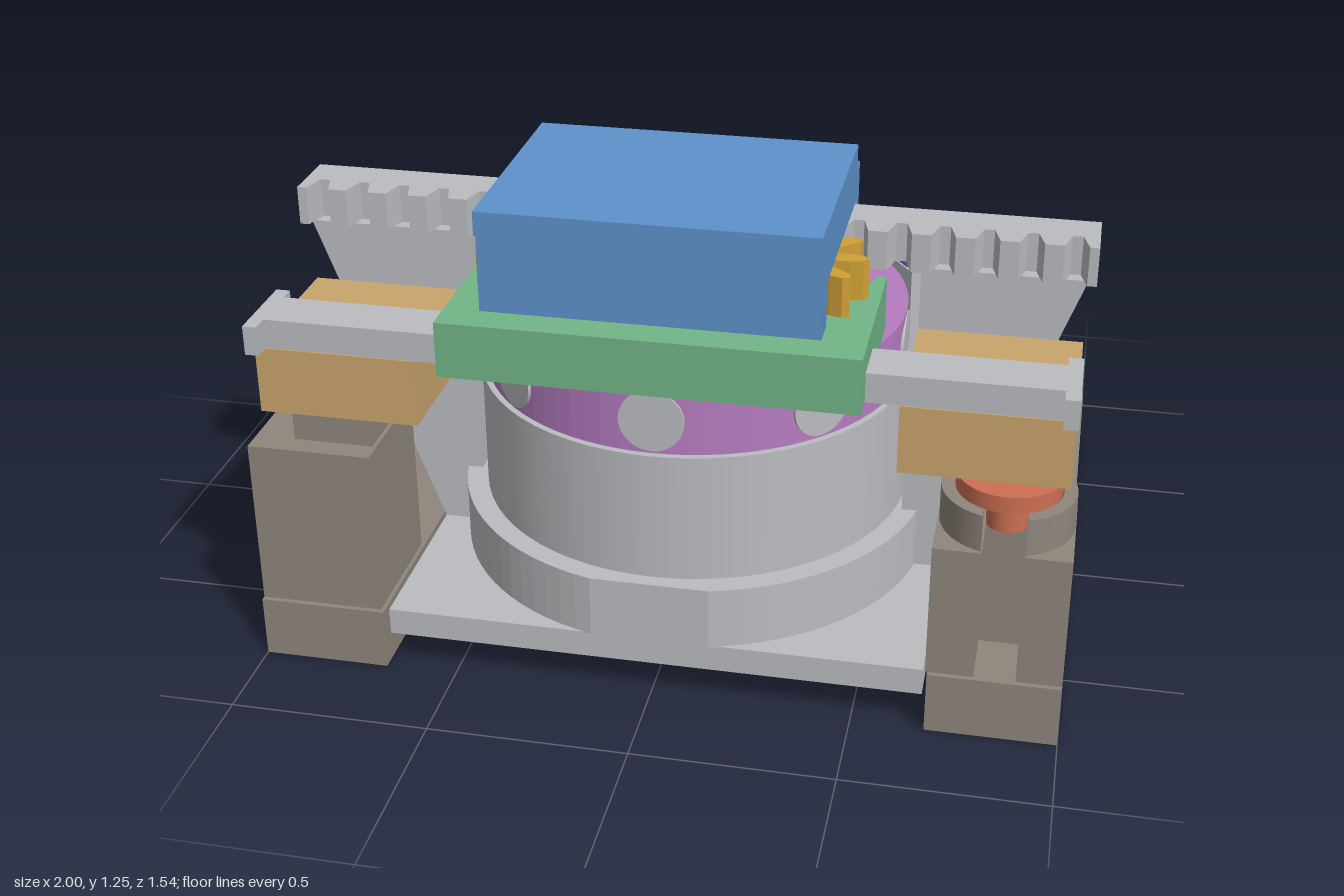
import * as THREE from 'three';

const mat = (name, color) => {
  const m = new THREE.MeshStandardMaterial({ color });
  m.name = name;
  return m;
};
const M = {
  brown: mat('brown', 0x8f867c), grey: mat('grey', 0xbbbcc0), purple: mat('purple', 0xb67cc1),
  green: mat('green', 0x72b587), blue: mat('blue', 0x5e92cb), tan: mat('tan', 0xc9a56d),
  gold: mat('gold', 0xd0a036), red: mat('red', 0xcc6f53), yellow: mat('yellow', 0xccc47f),
  navy: mat('navy', 0x403f8c),
};
const CZ = 0.165; // depth of the rotor axis

export function createModel() {
  const root = new THREE.Group();
  const add = (name, geo, m) => {
    const mesh = new THREE.Mesh(geo, m);
    mesh.name = name;
    root.add(mesh);
    return mesh;
  };
  // box from its limits
  const box = (name, m, x0, x1, y0, y1, z0, z1) => add(name,
    new THREE.BoxGeometry(Math.abs(x1 - x0), y1 - y0, z1 - z0)
      .translate((x0 + x1) / 2, (y0 + y1) / 2, (z0 + z1) / 2), m);
  const cyl = (name, m, r, y0, y1, x, z) => add(name,
    new THREE.CylinderGeometry(r, r, y1 - y0, 64).translate(x, (y0 + y1) / 2, z), m);
  const poly = (pts) => new THREE.Shape(pts.map(([x, y]) => new THREE.Vector2(x, y)));
  const circle = (x, y, r) => new THREE.Path().absarc(x, y, r, 0, Math.PI * 2, false);
  // plan shape (x, z) raised between two heights
  const slab = (shape, y0, y1) => new THREE.ExtrudeGeometry(shape,
    { depth: y1 - y0, bevelEnabled: false, curveSegments: 40 }).rotateX(Math.PI / 2).translate(0, y1, 0);
  // spur gear outline with rounded teeth
  const gearShape = (x, z, root_, tip, n, phase) => {
    const pts = [];
    const prof = [[-0.5, 0], [-0.3, 0], [-0.22, 0.45], [-0.13, 0.85], [0, 1], [0.13, 0.85], [0.22, 0.45], [0.3, 0]];
    for (let i = 0; i < n; i++) for (const [t, h] of prof) {
      const a = phase + (i + t) * Math.PI * 2 / n, r = root_ + (tip - root_) * h;
      pts.push([x + r * Math.cos(a), z + r * Math.sin(a)]);
    }
    return poly(pts);
  };
  // toothed edge running from -x to +x
  const teeth = (half, n, zRoot, zTip) => {
    const pts = [], p = 2 * half / n;
    for (let i = 0; i < n; i++) {
      const x = -half + i * p;
      pts.push([x, zTip], [x + 0.22 * p, zTip], [x + 0.38 * p, zRoot], [x + 0.62 * p, zRoot], [x + 0.78 * p, zTip]);
    }
    pts.push([half, zTip]);
    return pts;
  };

  // U-shaped base
  add('base', slab(poly([[-1, -0.775], [1, -0.775], [1, 0.77], [0.68, 0.77], [0.68, -0.45],
    [-0.68, -0.45], [-0.68, 0.77], [-1, 0.77]]), 0, 0.16), M.brown);

  // floor plate with bolt holes and a cable window
  const plate = poly([[-0.67, -0.445], [0.67, -0.445], [0.67, 0.752], [-0.67, 0.752]]);
  plate.holes.push(circle(0, 0.14, 0.055));
  for (const sx of [-1, 1]) for (const sz of [-1, 1]) plate.holes.push(circle(sx * 0.16, 0.14 + sz * 0.15, 0.05));
  plate.holes.push(new THREE.Path([[-0.19, -0.36], [0.19, -0.36], [0.19, -0.1], [-0.19, -0.1]]
    .map(([x, y]) => new THREE.Vector2(x, y))));
  add('floorPlate', slab(plate, 0.09, 0.16), M.grey);

  // stator with its flattened foot ring
  const foot = new THREE.Shape();
  foot.absarc(0, CZ, 0.61, Math.PI - 1.326, Math.PI * 2 + 1.326, false);
  add('statorFoot', slab(foot, 0.158, 0.32), M.grey);
  cyl('statorBody', M.grey, 0.555, 0.3, 0.655, 0, CZ);

  // rotor disc with counterbored holes on top and round ports on its side
  const discLayer = (name, r, y0, y1) => {
    const s = new THREE.Shape().absarc(0, CZ, 0.54, 0, Math.PI * 2, false);
    for (let i = 0; i < 4; i++) {
      const a = -1.94 + i * Math.PI / 2;
      s.holes.push(circle(0.245 * Math.cos(a), CZ + 0.245 * Math.sin(a), r));
    }
    add(name, slab(s, y0, y1), M.purple);
  };
  discLayer('rotorLower', 0.045, 0.656, 0.72);
  discLayer('rotorUpper', 0.08, 0.72, 0.832);
  for (let i = 0; i < 8; i++) {
    const port = new THREE.CylinderGeometry(0.08, 0.08, 0.009, 32).rotateX(Math.PI / 2).translate(0, 0.742, 0.538);
    add('sidePort', port.rotateY(i * Math.PI / 4).translate(0, 0, CZ), M.grey);
  }

  // drive pinion and its shaft
  const pinion = gearShape(0, CZ, 0.13, 0.21, 10, -Math.PI / 2);
  pinion.holes.push(circle(0, CZ, 0.075));
  add('drivePinion', slab(pinion, 0.833, 0.98), M.red);
  cyl('driveShaft', M.grey, 0.075, 0.832, 0.972, 0, CZ);

  // sliding block with a toothed back edge
  add('slidingBlock', slab(poly([...teeth(0.5, 9, 0.38, 0.305), [0.5, 0.767], [-0.5, 0.767]]), 0.84, 0.98), M.green);

  // fixed rack with an undercut back
  const rack = slab(poly([...teeth(1, 19, 0.25, 0.312).reverse(), [-1, 0.15], [1, 0.15]]), 1.0, 1.1);
  const rp = rack.attributes.position;
  for (let i = 0; i < rp.count; i++) if (rp.getZ(i) < 0.16 && rp.getY(i) < 1.05) rp.setZ(i, 0.185);
  rack.computeVertexNormals();
  add('fixedRack', rack, M.grey);

  // cover that hooks over the rack
  const cover = poly([[0.74, 1.255], [0.145, 1.255], [0.145, 1.195], [0.1, 1.195], [0.1, 1.1], [0.138, 1.0],
    [0.175, 1.0], [0.14, 1.11], [0.65, 1.11], [0.65, 1.0], [0.725, 1.0], [0.725, 1.195], [0.74, 1.195]]);
  add('cover', new THREE.ExtrudeGeometry(cover, { depth: 0.8, bevelEnabled: false })
    .rotateY(-Math.PI / 2).translate(0.4, 0, 0), M.blue);

  for (const s of [-1, 1]) {
    // transfer gear on its boss
    add('transferGear', slab(gearShape(s * 0.25, 0.48, 0.15, 0.225, 12, 0), 1.0, 1.1), M.gold);
    cyl('gearBoss', M.green, 0.08, 0.975, 1.0, s * 0.25, 0.48);

    // guide arm and slide bar with its end stop
    box('guideArm', M.tan, s * 0.58, s * 0.98, 0.665, 0.838, 0.283, 0.7);
    box('slideBar', M.grey, s * 0.49, s * 0.97, 0.84, 0.915, 0.57, 0.7);
    box('slideStop', M.grey, s * 0.95, s * 0.985, 0.84, 0.915, 0.53, 0.745);

    // tapered bracket carrying the rack
    const bracket = poly([[s * 0.98, 1.0], [s * 0.58, 1.0], [s * 0.58, 0.66], [s * 0.56, 0.64],
      [s * 0.56, 0.16], [s * 0.67, 0.16]]);
    add('rackBracket', new THREE.ExtrudeGeometry(bracket, { depth: 0.12, bevelEnabled: false })
      .translate(0, 0, 0.163), M.grey);

    // grooved sensor pillar, its outer face along +z before turning
    const pts = [[-0.115, -0.065], [0.115, -0.065], [0.115, 0.065]];
    for (const c of [0.06, 0, -0.06]) {
      pts.push([c + 0.015, 0.065], [c + 0.015, 0.02], [c - 0.015, 0.02], [c - 0.015, 0.065]);
    }
    pts.push([-0.115, 0.065]);
    const turn = Math.PI - s * 0.95;
    const place = (g) => g.translate(0, 0, 0.63).rotateY(turn).translate(0, 0, CZ);
    add('sensorPillar', place(slab(poly(pts), 0.158, 0.8)), M.grey);
    const rim = poly([[-0.115, -0.065], [0.115, -0.065], [0.115, 0.065], [-0.115, 0.065]]);
    rim.holes.push(new THREE.Path([[-0.08, -0.06], [0.08, -0.06], [0.08, 0.02], [-0.08, 0.02]]
      .map(([x, y]) => new THREE.Vector2(x, y))));
    add('sensorRim', place(slab(rim, 0.8, 0.828)), M.grey);
    add('sensor', place(new THREE.BoxGeometry(0.16, 0.016, 0.08).translate(0, 0.808, -0.02)), M.navy);

    // corner pad
    box('cornerPad', M.yellow, s * 0.68, s * 0.8, 0.16, 0.197, -0.443, -0.283);
  }

  // plain post with its packing block
  box('plainPost', M.brown, -1, -0.69, 0.16, 0.595, 0.437, 0.757);
  box('packingBlock', M.brown, -0.9, -0.7, 0.59, 0.665, 0.47, 0.7);

  // slotted post with a split cup and a plunger
  add('slottedPost', slab(poly([[0.675, 0.437], [1, 0.437], [1, 0.757], [0.89, 0.757], [0.89, 0.6],
    [0.79, 0.6], [0.79, 0.757], [0.675, 0.757]]), 0.16, 0.505), M.brown);
  const cup = new THREE.Shape();
  cup.absarc(0.838, 0.597, 0.16, Math.PI / 2 + 0.33, Math.PI * 2.5 - 0.33, false);
  cup.absarc(0.838, 0.597, 0.128, Math.PI * 2.5 - 0.41, Math.PI / 2 + 0.41, true);
  add('splitCup', slab(cup, 0.505, 0.6), M.brown);
  cyl('plungerFlange', M.red, 0.126, 0.598, 0.64, 0.838, 0.597);
  cyl('plungerStem', M.red, 0.05, 0.5, 0.667, 0.838, 0.597);

  return root;
}
